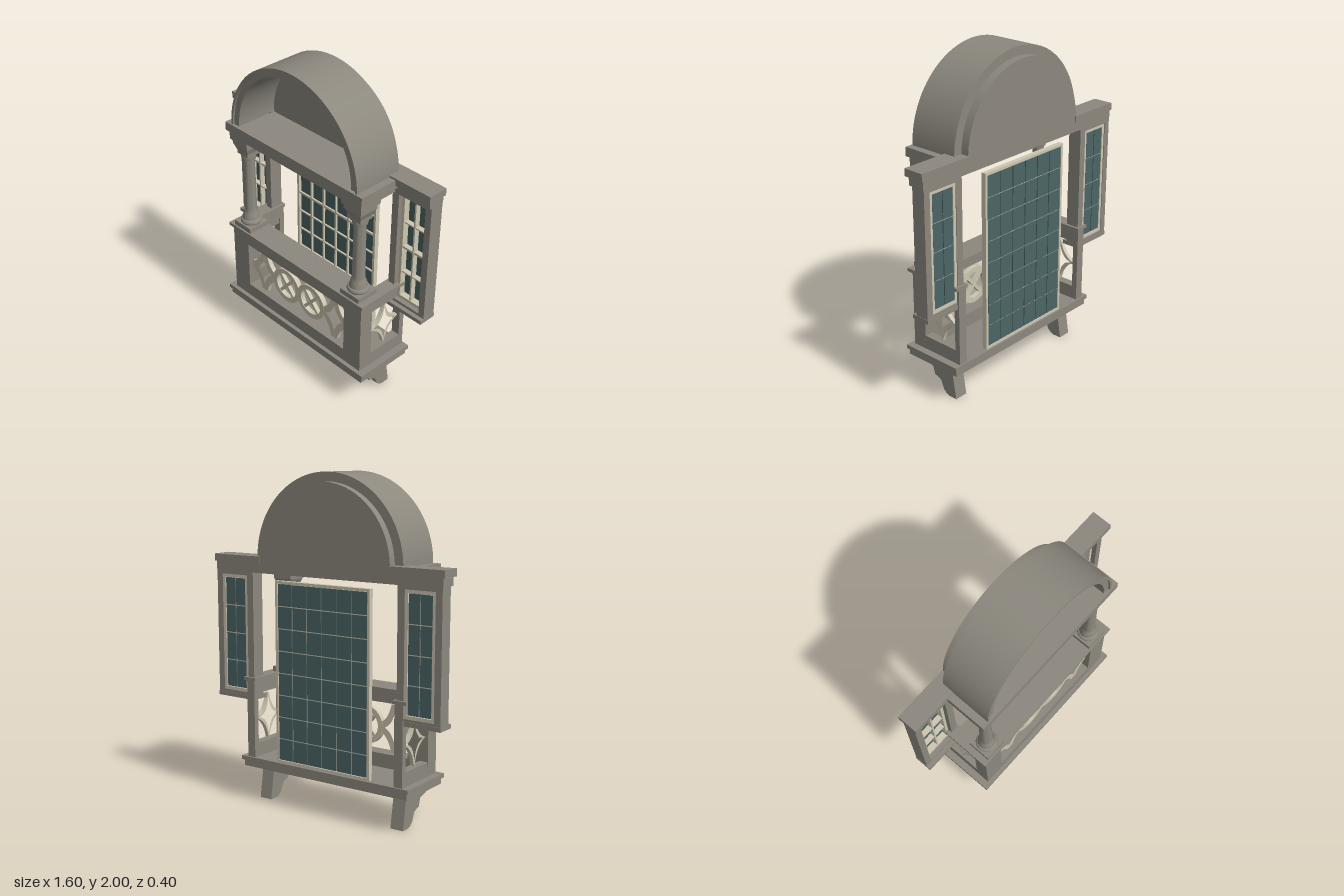
import * as THREE from 'three';
import { toCreasedNormals } from 'three/addons/utils/BufferGeometryUtils.js';

const material = (name, color) => {
  const m = new THREE.MeshStandardMaterial({ color });
  m.name = name;
  return m;
};

export function createModel() {
  const stone = material('stone', 0x8c887e);
  const cream = material('cream', 0xcdc6b1);
  const glass = material('glass', 0x4c6464);
  const model = new THREE.Group();
  model.name = 'balcony';

  const add = (name, geometry, mat, parent = model) => {
    const mesh = new THREE.Mesh(geometry, mat);
    mesh.name = name;
    parent.add(mesh);
    return mesh;
  };
  // Box given by its limits on each axis
  const box = (name, x0, x1, y0, y1, z0, z1, mat = stone, parent = model) => {
    const mesh = add(name, new THREE.BoxGeometry(Math.abs(x1 - x0), y1 - y0, z1 - z0), mat, parent);
    mesh.position.set((x0 + x1) / 2, (y0 + y1) / 2, (z0 + z1) / 2);
    return mesh;
  };
  // Shape in the xy plane, extruded from z0 to z1
  const slab = (name, shape, z0, z1, mat = stone, parent = model) => {
    const g = new THREE.ExtrudeGeometry(shape, { depth: z1 - z0, bevelEnabled: false, curveSegments: 40 });
    return add(name, toCreasedNormals(g.translate(0, 0, z0), 0.5), mat, parent);
  };
  const rect = (x0, x1, y0, y1, Type = THREE.Shape) => new Type([
    [x0, y0], [x1, y0], [x1, y1], [x0, y1]].map(p => new THREE.Vector2(...p)));
  const frame = (a, b) => {
    const s = rect(...a);
    s.holes.push(rect(...b, THREE.Path));
    return s;
  };

  // Multi-pane window: cream frame and bars, panes set against the back
  const glazing = (name, x0, x1, y0, y1, border, cols, rows, z0, z1, thick) => {
    const g = new THREE.Group();
    g.name = name;
    model.add(g);
    const a = x0 + border, b = x1 - border, c = y0 + border, d = y1 - border;
    const w = (b - a) / cols, h = (d - c) / rows, mid = z0 + 0.014;
    slab('windowFrame', frame([x0, x1, y0, y1], [a, b, c, d]), z0, z1, cream, g);
    for (let i = 0; i < cols; i++) for (let j = 0; j < rows; j++) {
      box('pane', a + i * w + 0.003, a + (i + 1) * w - 0.003,
        c + j * h + 0.003, c + (j + 1) * h - 0.003, z0 + 0.002, mid, glass, g);
    }
    for (let i = 1; i < cols; i++) {
      const x = a + i * w;
      box('verticalBar', x - 0.005, x + 0.005, c, d, mid - 0.006, z1 - 0.003, cream, g);
    }
    for (let j = 1; j < rows; j++) {
      const y = c + j * h, t = j === thick ? 0.007 : 0.004;
      box('horizontalBar', a, b, y - t, y + t, mid - 0.006, z1 - 0.005, cream, g);
    }
  };

  // Four-pointed star with concave sides and blunt tips of half width t
  const starPath = (Type, rx, ry, t, c) => {
    const p = new Type();
    p.moveTo(t, ry);
    p.quadraticCurveTo(c, c, rx, t);
    p.lineTo(rx, -t);
    p.quadraticCurveTo(c, -c, t, -ry);
    p.lineTo(-t, -ry);
    p.quadraticCurveTo(-c, -c, -rx, -t);
    p.lineTo(-rx, t);
    p.quadraticCurveTo(-c, c, -t, ry);
    p.closePath();
    return p;
  };
  const star = (rx, ry, t, c, inset) => {
    const s = starPath(THREE.Shape, rx, ry, t, c);
    s.holes.push(starPath(THREE.Path, rx - inset * 1.5, ry - inset * 1.8, 0.002, c * 0.5));
    return s;
  };

  // Floor
  box('floorUnderside', -0.585, 0.585, 0.212, 0.25, -0.19, 0.19);
  box('floorSlab', -0.598, 0.598, 0.25, 0.275, -0.2, 0.2);

  // Balustrade
  slab('frontParapet', frame([-0.555, 0.555, 0.275, 0.75], [-0.42, 0.42, 0.36, 0.67]), 0.085, 0.175);
  box('frontRail', -0.577, 0.577, 0.75, 0.77, 0.03, 0.192);

  // Rings and crosses in the front opening
  for (const x of [-0.108, 0.108]) {
    const ring = new THREE.Shape().absarc(x, 0.51, 0.116, 0, Math.PI * 2);
    ring.holes.push(new THREE.Path().absarc(x, 0.51, 0.084, 0, Math.PI * 2));
    slab('ring', ring, 0.115, 0.145, cream);
    for (const s of [-1, 1]) {
      const bar = box('crossBar', x - 0.09, x + 0.09, 0.5, 0.52, 0.118, 0.142, cream);
      bar.rotation.z = s * 0.85;
    }
  }

  // Column turned profile, radius and height
  const columnProfile = [[0, 0.8], [0.062, 0.8], [0.066, 0.812], [0.062, 0.825], [0.054, 0.83],
    [0.05, 0.85], [0.045, 0.868], [0.04, 0.88], [0.038, 0.9], [0.035, 1.25], [0.044, 1.255],
    [0.046, 1.27], [0.044, 1.285], [0.044, 1.3], [0, 1.3]].map(p => new THREE.Vector2(...p));

  // Bracket profile, z and height
  const bracketShape = new THREE.Shape([[0.16, 0.215], [0.16, 0.177], [0.115, 0.163], [0.065, 0.15],
    [0.05, 0.1], [0.02, 0.092], [0, 0.08], [-0.02, 0.03], [-0.04, 0.01], [-0.065, 0], [-0.12, 0],
    [-0.085, 0.215]].map(p => new THREE.Vector2(...p)));

  for (const s of [-1, 1]) {
    const span = (a, b) => (s > 0 ? [a, b] : [-b, -a]);

    // Support bracket
    const bracket = slab('bracket', bracketShape, -0.042, 0.042);
    bracket.rotation.y = -Math.PI / 2;
    bracket.position.x = s * 0.478;

    // Side parapet, local x running along z
    const side = slab('sideParapet',
      frame([-0.19, 0.1, 0.275, 0.75], [-0.155, 0.085, 0.36, 0.67]), -0.0275, 0.0275);
    side.rotation.y = -Math.PI / 2;
    side.position.x = s * 0.527;
    box('sideRail', ...span(0.49, 0.577), 0.75, 0.77, -0.195, 0.05);
    const sideStar = slab('sideStar', star(0.112, 0.142, 0.003, 0.028, 0.018), -0.012, 0.012, cream);
    sideStar.rotation.y = -Math.PI / 2;
    sideStar.position.set(s * 0.527, 0.51, -0.038);
    const frontStar = slab('frontStar', star(0.112, 0.147, 0.024, 0.045, 0.03), 0.116, 0.144, cream);
    frontStar.position.set(s * 0.31, 0.51, 0);

    // Column with square plinth and stepped capital
    const cx = s * 0.463, cz = 0.107;
    const block = (name, r, y0, y1) => box(name, cx - r, cx + r, y0, y1, cz - r, cz + r);
    block('plinth', 0.073, 0.77, 0.802);
    add('column', toCreasedNormals(new THREE.LatheGeometry(columnProfile, 28), 0.6), stone)
      .position.set(cx, 0, cz);
    block('capitalLower', 0.046, 1.285, 1.31);
    const bell = add('capitalBell', new THREE.CylinderGeometry(0.062 * Math.SQRT2, 0.048 * Math.SQRT2, 0.04, 4)
      .rotateY(Math.PI / 4).toNonIndexed(), stone);
    bell.geometry.computeVertexNormals();
    bell.position.set(cx, 1.33, cz);
    block('capitalUpper', 0.064, 1.348, 1.382);
    block('abacus', 0.075, 1.38, 1.412);

    // Side window panel with cornice and sill
    const [p0, p1] = span(0.507, 0.785), [w0, w1] = span(0.552, 0.744);
    slab('sidePanel', frame([p0, p1, 0.64, 1.41], [w0, w1, 0.672, 1.385]), -0.18, -0.095);
    glazing('sideWindow', w0, w1, 0.672, 1.385, 0.019, 2, 4, -0.176, -0.125, 2);
    box('sill', ...span(0.505, 0.787), 0.63, 0.655, -0.182, -0.068);
    box('corniceLower', ...span(0.5, 0.788), 1.41, 1.462, -0.18, -0.075);
    box('corniceUpper', ...span(0.45, 0.8), 1.46, 1.503, -0.185, -0.058);
  }

  // Main glazed door
  glazing('door', -0.332, 0.332, 0.275, 1.37, 0.016, 6, 8, -0.188, -0.158, 5);

  // Entablature carried by the columns
  box('entablatureLower', -0.54, 0.54, 1.405, 1.44, -0.18, 0.183);
  box('entablatureUpper', -0.555, 0.555, 1.438, 1.492, -0.18, 0.196);

  // Vaulted hood
  const halfDisc = r => {
    const h = new THREE.Shape();
    h.moveTo(r, 1.49);
    h.absarc(0, 1.49, r, 0, Math.PI);
    h.closePath();
    return h;
  };
  const halfRing = (r0, r1) => {
    const h = new THREE.Shape();
    h.moveTo(r1, 1.49);
    h.absarc(0, 1.49, r1, 0, Math.PI);
    h.lineTo(-r0, 1.49);
    h.absarc(0, 1.49, r0, Math.PI, 0, true);
    h.closePath();
    return h;
  };
  slab('vaultShell', halfRing(0.495, 0.51), -0.13, 0.187);
  slab('vaultLining', halfRing(0.455, 0.495), -0.13, 0.175);
  slab('vaultBackWall', halfDisc(0.456), -0.18, -0.09);

  // Hexagonal boss on the back wall
  const boss = add('boss', new THREE.CylinderGeometry(0.073, 0.073, 0.025, 6), stone);
  boss.geometry = toCreasedNormals(boss.geometry, 0.3);
  boss.rotation.x = Math.PI / 2;
  boss.position.set(0, 1.655, -0.08);

  return model;
}
